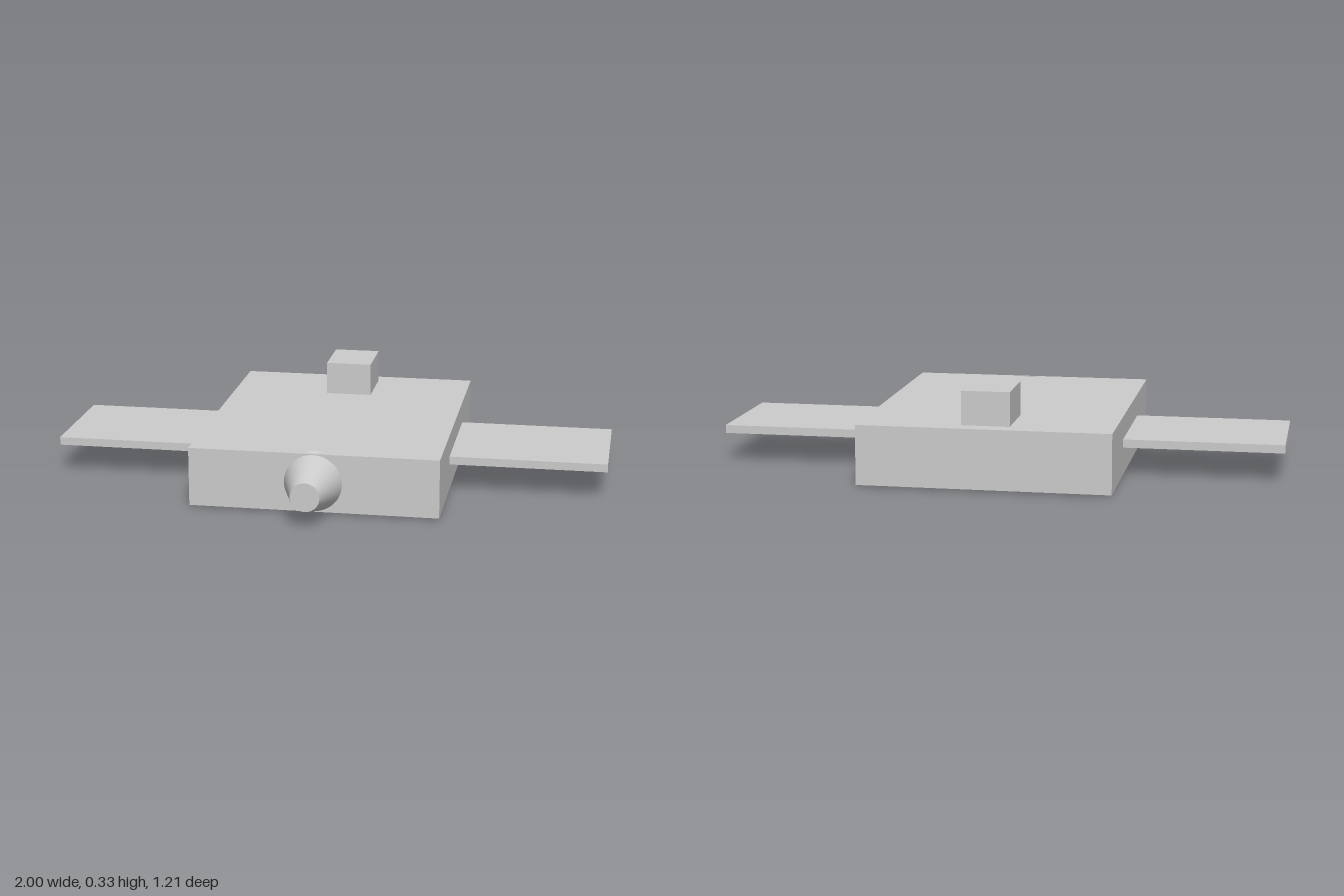
import * as THREE from 'three';

const material = new THREE.MeshStandardMaterial({ color: 0xcccccc });

// Box given by its minimum and maximum corners
function box(name, [x0, y0, z0], [x1, y1, z1]) {
  const mesh = new THREE.Mesh(new THREE.BoxGeometry(x1 - x0, y1 - y0, z1 - z0), material);
  mesh.position.set((x0 + x1) / 2, (y0 + y1) / 2, (z0 + z1) / 2);
  mesh.name = name;
  return mesh;
}

export function createModel() {
  const model = new THREE.Group();
  model.name = 'panelCraft';

  // Flat main body and the small block on its rear deck
  model.add(box('body', [-0.44, 0.006, -0.604], [0.44, 0.215, 0.444]));
  model.add(box('topBlock', [-0.084, 0.215, -0.545], [0.084, 0.334, -0.334]));

  // Thin side panels
  model.add(box('leftPanel', [0.44, 0.105, -0.3], [1, 0.134, 0.138]));
  model.add(box('rightPanel', [-1, 0.105, -0.3], [-0.44, 0.134, 0.138]));

  // Tapered nozzle, its wide end sunk into the front face
  const zBack = 0.418, zFront = 0.604;
  const nozzle = new THREE.Mesh(
    new THREE.CylinderGeometry(0.051, 0.11, zFront - zBack, 48).rotateX(Math.PI / 2), material);
  nozzle.position.set(0, 0.11, (zBack + zFront) / 2);
  nozzle.name = 'frontNozzle';
  model.add(nozzle);

  return model;
}
